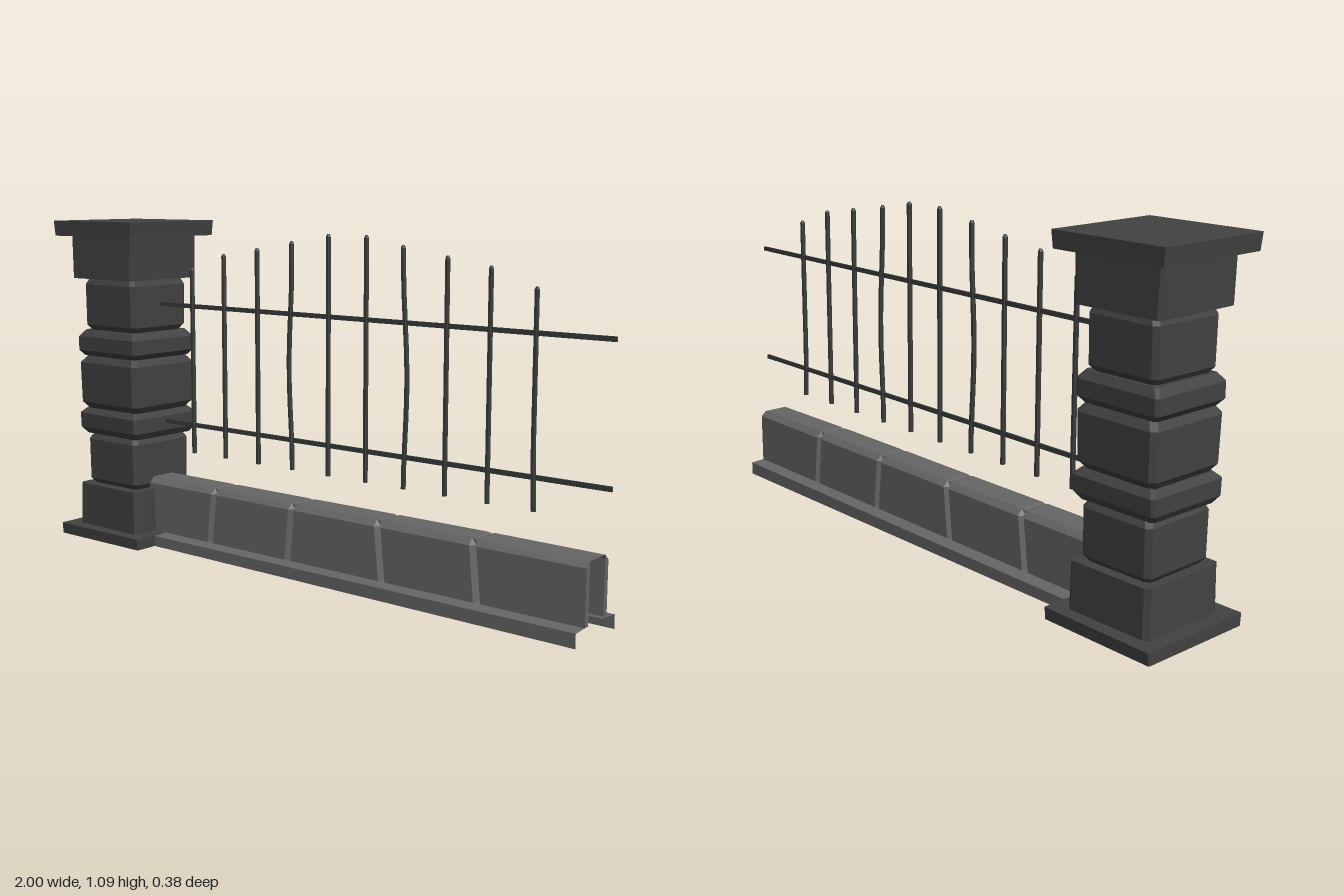
import * as THREE from 'three';

const stoneDark = new THREE.MeshStandardMaterial({ color: 0x424242 });
stoneDark.name = 'dark stone';
const stoneGrey = new THREE.MeshStandardMaterial({ color: 0x666666, side: THREE.DoubleSide });
stoneGrey.name = 'grey stone';
const iron = new THREE.MeshStandardMaterial({ color: 0x3a3c3c });
iron.name = 'iron';

// Small seeded random in -1..1
let seed = 7;
const rnd = () => {
  seed = (seed * 16807) % 2147483647;
  return (seed / 2147483647) * 2 - 1;
};

// Faceted surface through equal-length rows of points
function loft(rows, closed, caps) {
  const pos = [];
  const tri = (...pts) => pts.forEach((p) => pos.push(...p));
  const n = rows[0].length;
  for (let r = 0; r < rows.length - 1; r++) {
    for (let i = 0; i < (closed ? n : n - 1); i++) {
      const j = (i + 1) % n;
      const a = rows[r][i], b = rows[r][j], c = rows[r + 1][j], d = rows[r + 1][i];
      tri(a, d, b);
      tri(b, d, c);
    }
  }
  if (caps) {
    const lo = rows[0], hi = rows[rows.length - 1];
    for (let i = 1; i < n - 1; i++) {
      tri(lo[0], lo[i], lo[i + 1]);
      tri(hi[0], hi[i + 1], hi[i]);
    }
  }
  const geo = new THREE.BufferGeometry();
  geo.setAttribute('position', new THREE.Float32BufferAttribute(pos, 3));
  geo.computeVertexNormals();
  return geo;
}

function add(group, name, geo, mat) {
  const mesh = new THREE.Mesh(geo, mat);
  mesh.name = name;
  group.add(mesh);
  return mesh;
}

// Stone from rings [y, half x, half z], with trimmed vertical corners
function stone(rings, cut, wobble) {
  const jitter = Array.from({ length: 8 }, () => [rnd() * wobble, rnd() * wobble]);
  const rows = rings.map(([y, hx, hz]) => [
    [hx, -hz + cut], [hx, hz - cut], [hx - cut, hz], [-hx + cut, hz],
    [-hx, hz - cut], [-hx, -hz + cut], [-hx + cut, -hz], [hx - cut, -hz],
  ].map(([x, z], i) => [x + jitter[i][0], y, z + jitter[i][1]]));
  return loft(rows, true, true);
}

function buildPillar() {
  const pillar = new THREE.Group();
  pillar.name = 'pillar';
  pillar.position.x = -0.809;

  const parts = [
    ['plinth', 0.002, 0.001, [[0.008, 0.189, 0.186], [0.045, 0.189, 0.189]]],
    ['baseBlock', 0.014, 0.003, [[0.045, 0.143, 0.147], [0.188, 0.141, 0.145]]],
    ['lowerBlock', 0.014, 0.003, [[0.188, 0.108, 0.11], [0.205, 0.12, 0.124], [0.342, 0.12, 0.126], [0.362, 0.108, 0.112]]],
    ['lowerBand', 0.01, 0.003, [[0.362, 0.128, 0.124], [0.384, 0.143, 0.14], [0.432, 0.143, 0.142], [0.45, 0.125, 0.122]]],
    ['middleBlock', 0.016, 0.003, [[0.45, 0.122, 0.12], [0.472, 0.138, 0.138], [0.607, 0.14, 0.141], [0.63, 0.122, 0.124]]],
    ['upperBand', 0.01, 0.003, [[0.63, 0.128, 0.126], [0.648, 0.143, 0.14], [0.695, 0.143, 0.14], [0.718, 0.125, 0.122]]],
    ['upperBlock', 0.014, 0.003, [[0.718, 0.108, 0.11], [0.735, 0.12, 0.123], [0.872, 0.12, 0.125], [0.893, 0.11, 0.115]]],
    ['headBlock', 0.008, 0.003, [[0.893, 0.141, 0.149], [1.036, 0.146, 0.147]]],
    ['cap', 0.002, 0.001, [[1.035, 0.185, 0.186], [1.085, 0.19, 0.188]]],
  ];
  for (const [name, cut, wobble, rings] of parts) {
    add(pillar, name, stone(rings, cut, wobble), stoneDark);
  }
  return pillar;
}

function buildWall() {
  const wall = new THREE.Group();
  wall.name = 'lowWall';
  const left = -0.69, right = 0.965;

  // Hollow cross-section; dip pinches the sides in, lean tilts a joint
  const section = (x, dip, lean, top) => [
    [0.06, 0.045], [0.06, 0.208], [0.042, top], [-0.042, top], [-0.06, 0.208], [-0.06, 0.045],
  ].map(([z, y]) => [x + lean * (y - 0.13), y, z - Math.sign(z) * (Math.abs(z) > 0.05 ? dip : 0)]);

  const rows = [section(left, 0, 0, 0.226)];
  const joints = [[-0.4, 0.12], [-0.067, 0.1], [0.283, -0.1], [0.617, -0.1]];
  for (const [x, lean] of joints) {
    const top = 0.224 + rnd() * 0.003;
    rows.push(section(x - 0.012, 0, lean, top));
    rows.push(section(x, 0.018, lean, top - 0.003));
    rows.push(section(x + 0.012, 0, lean, top));
  }
  rows.push(section(right, 0, 0, 0.224));
  rows.push(section(right, 0.018, 0, 0.224)); // end lip
  add(wall, 'wallBlocks', loft(rows, false, false), stoneGrey);

  // Footing ledges along both sides
  for (const side of [1, -1]) {
    let profile = [[0.108, 0], [0.108, 0.042], [0.04, 0.046]];
    if (side < 0) profile = profile.reverse();
    const ends = [[left, 0.008], [right, 0]].map(([x, rise]) =>
      profile.map(([z, y]) => [x, y || rise, z * side]));
    add(wall, side > 0 ? 'frontLedge' : 'backLedge', loft(ends, false, false), stoneGrey);
  }
  return wall;
}

function buildFence() {
  const fence = new THREE.Group();
  fence.name = 'ironFence';

  for (const y of [0.415, 0.81]) {
    const rail = add(fence, 'rail', new THREE.BoxGeometry(1.7, 0.014, 0.007), iron);
    rail.position.set(0.15, y, 0);
  }

  // Upright bars with arched heights; a few are bent
  const xs = [-0.535, -0.392, -0.248, -0.105, 0.04, 0.184, 0.325, 0.471, 0.615, 0.76];
  const tops = [0.935, 0.985, 1.008, 1.033, 1.058];
  const bends = { 3: -0.012, 6: 0.011 };
  const bottom = 0.32;
  xs.forEach((x, i) => {
    const top = tops[Math.min(i, 9 - i)];
    const rows = [];
    const steps = 10;
    const ring = (y, radius) => {
      const t = (y - bottom) / (top - bottom);
      const bend = (bends[i] || 0) * Math.sin(Math.PI * Math.min(1, t * 1.1)) ** 2;
      const lean = i === 6 ? -0.008 * t * t : i === 9 ? 0.005 * Math.max(0, 1 - 4 * t) : 0;
      return Array.from({ length: 6 }, (_, k) => {
        const a = (k * Math.PI) / 3;
        return [x + bend + lean + radius * Math.cos(a), y, radius * Math.sin(a)];
      });
    };
    for (let s = 0; s <= steps; s++) {
      rows.push(ring(bottom + ((top - 0.008 - bottom) * s) / steps, 0.008));
    }
    rows.push(ring(top, 0.004)); // blunt tip
    add(fence, 'bar', loft(rows, true, true), iron);
  });
  return fence;
}

export function createModel() {
  const model = new THREE.Group();
  model.name = 'fenceSection';
  model.add(buildPillar(), buildWall(), buildFence());
  return model;
}
